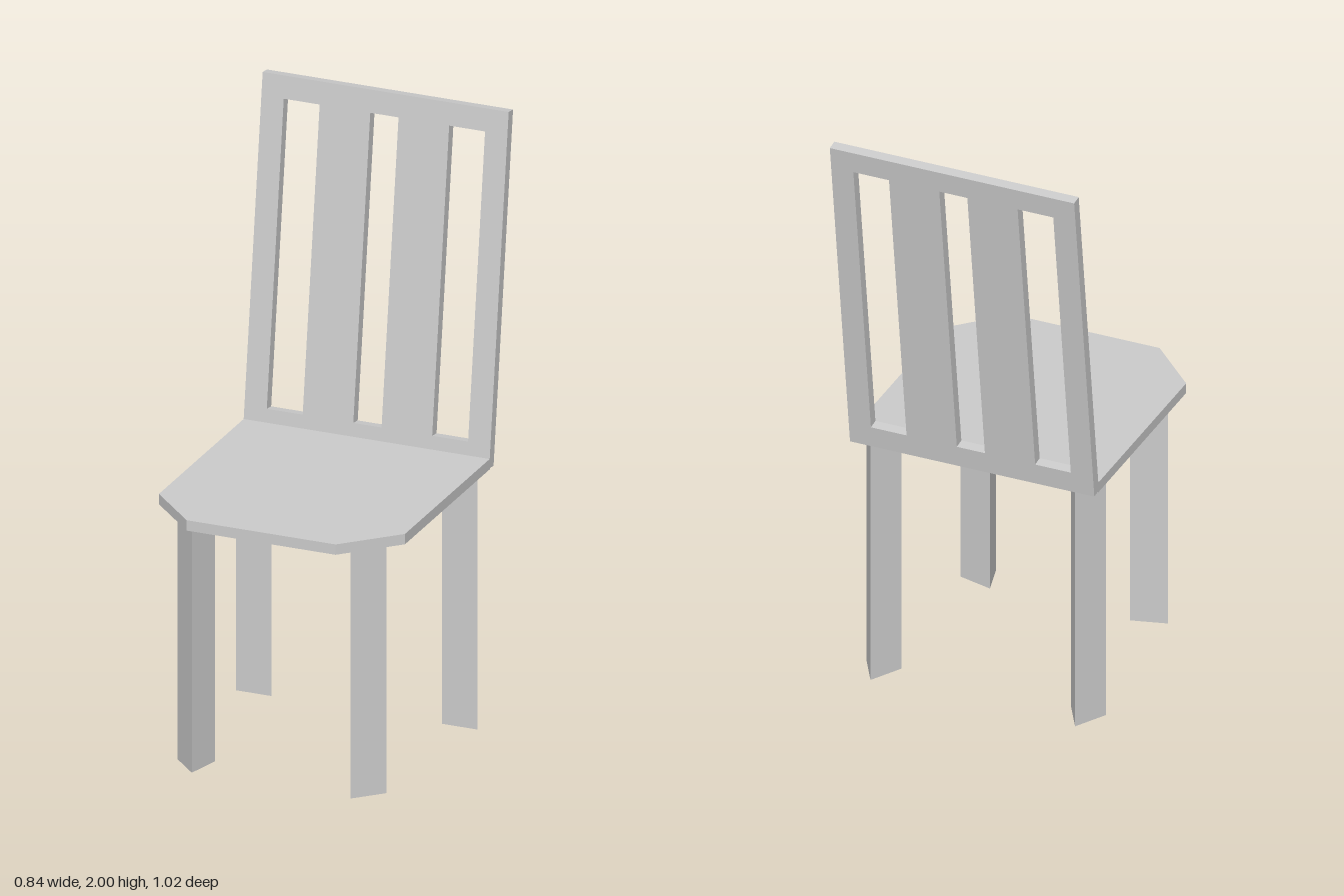
import * as THREE from 'three';

const material = new THREE.MeshStandardMaterial({ color: 0xcccccc, flatShading: true });
const HALF_W = 0.418, THICK = 0.035, SEAT_Y = 0.85;

function polygon(points) {
  return new THREE.Shape(points.map(([x, y]) => new THREE.Vector2(x, y)));
}

// Upright prism from an [x, z] outline, standing between y0 and y0 + height
function prism(name, outline, y0, height) {
  const shape = polygon(outline.map(([x, z]) => [x, -z]));
  const geometry = new THREE.ExtrudeGeometry(shape, { depth: height, bevelEnabled: false });
  geometry.rotateX(-Math.PI / 2).translate(0, y0, 0);
  const mesh = new THREE.Mesh(geometry, material);
  mesh.name = name;
  return mesh;
}

export function createModel() {
  const group = new THREE.Group();
  group.name = 'chair';

  // Seat board with two clipped front corners
  group.add(prism('seat', [
    [-HALF_W, -0.33], [-HALF_W, 0.345], [-0.253, 0.51],
    [0.253, 0.51], [HALF_W, 0.345], [HALF_W, -0.33],
  ], SEAT_Y, THICK));

  // Leaning back panel with three tall slots
  const length = 1.155, margin = 0.075;
  const panel = polygon([[-HALF_W, 0], [HALF_W, 0], [HALF_W, length], [-HALF_W, length]]);
  for (const [x0, x1] of [[-0.342, -0.22], [-0.048, 0.048], [0.22, 0.342]]) {
    panel.holes.push(polygon([
      [x0, margin], [x0, length - margin], [x1, length - margin], [x1, margin],
    ]));
  }
  const backGeometry = new THREE.ExtrudeGeometry(panel, { depth: THICK, bevelEnabled: false });
  backGeometry.translate(0, 0, -THICK);
  const back = new THREE.Mesh(backGeometry, material);
  back.name = 'backrest';
  back.position.set(0, SEAT_Y + 0.005, -0.322);
  back.rotation.x = -0.134;
  group.add(back);

  // Triangular legs: front ones face the clipped corners, back ones point backwards
  for (const [side, s] of [['left', 1], ['right', -1]]) {
    const mirror = (points) => points.map(([x, z]) => [x * s, z]);
    group.add(prism(side + 'FrontLeg',
      mirror([[0.27, 0.43], [0.355, 0.345], [0.24, 0.315]]), 0, SEAT_Y));
    group.add(prism(side + 'BackLeg',
      mirror([[0.29, -0.248], [0.41, -0.248], [0.35, -0.352]]), 0, SEAT_Y));
  }
  return group;
}
